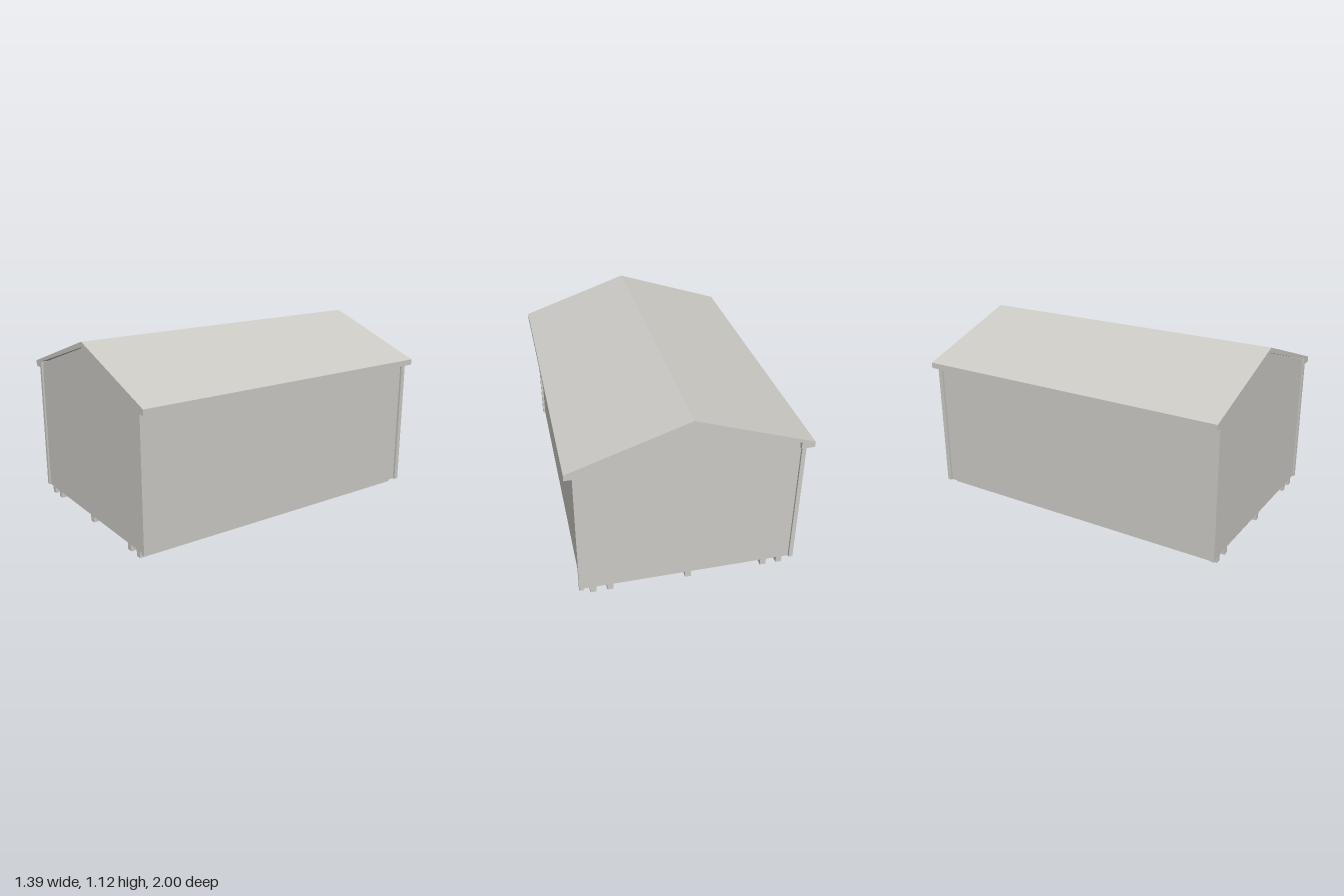
import * as THREE from 'three';

export function createModel() {
  const model = new THREE.Group();
  model.name = 'shed';
  const paleGrey = new THREE.MeshStandardMaterial({ color: 0xcccac5 });
  paleGrey.name = 'paleGrey';

  const add = (name, geometry) => {
    const mesh = new THREE.Mesh(geometry, paleGrey);
    mesh.name = name;
    model.add(mesh);
  };

  // Box given by its minimum and maximum corners
  const box = (name, x0, x1, y0, y1, z0, z1) => {
    const g = new THREE.BoxGeometry(x1 - x0, y1 - y0, z1 - z0);
    g.translate((x0 + x1) / 2, (y0 + y1) / 2, (z0 + z1) / 2);
    add(name, g);
  };

  // Profile in x, y pushed out along z
  const extrude = (name, points, z0, z1) => {
    const shape = new THREE.Shape(points.map(([x, y]) => new THREE.Vector2(x, y)));
    const g = new THREE.ExtrudeGeometry(shape, { depth: z1 - z0, bevelEnabled: false });
    g.translate(0, 0, z0);
    add(name, g);
  };

  // Gabled roof with boxed eaves
  extrude('roof', [
    [0, 1.115], [-0.695, 0.88], [-0.695, 0.845], [-0.617, 0.845], [-0.617, 0.885],
    [0, 1.083], [0.617, 0.885], [0.617, 0.845], [0.695, 0.845], [0.695, 0.88],
  ], -1, 1);

  // Gable walls, thin sheets at both ends
  const gable = [[-0.635, 0.04], [0.635, 0.04], [0.635, 0.845], [0.617, 0.845],
    [0.617, 0.877], [0, 1.081], [-0.617, 0.877], [-0.617, 0.845], [-0.635, 0.845]];
  extrude('frontWall', gable, 0.976, 0.986);
  extrude('backWall', gable, -0.978, -0.968);

  // Side walls and corner posts
  for (const [side, s] of [['left', 1], ['right', -1]]) {
    const span = (a, b) => [Math.min(s * a, s * b), Math.max(s * a, s * b)];
    box(side + 'Wall', ...span(0.626, 0.636), 0.04, 0.85, -0.97, 0.978);
    box(side + 'FrontPost', ...span(0.625, 0.65), 0.04, 0.847, 0.968, 0.996);
    box(side + 'BackPost', ...span(0.625, 0.65), 0.04, 0.847, -0.992, -0.964);
  }

  // Ground bearers running the full length
  for (const x of [-0.568, -0.468, 0, 0.468, 0.568]) {
    box('bearer', x - 0.018, x + 0.018, 0, 0.04, -0.978, 0.986);
  }

  return model;
}
